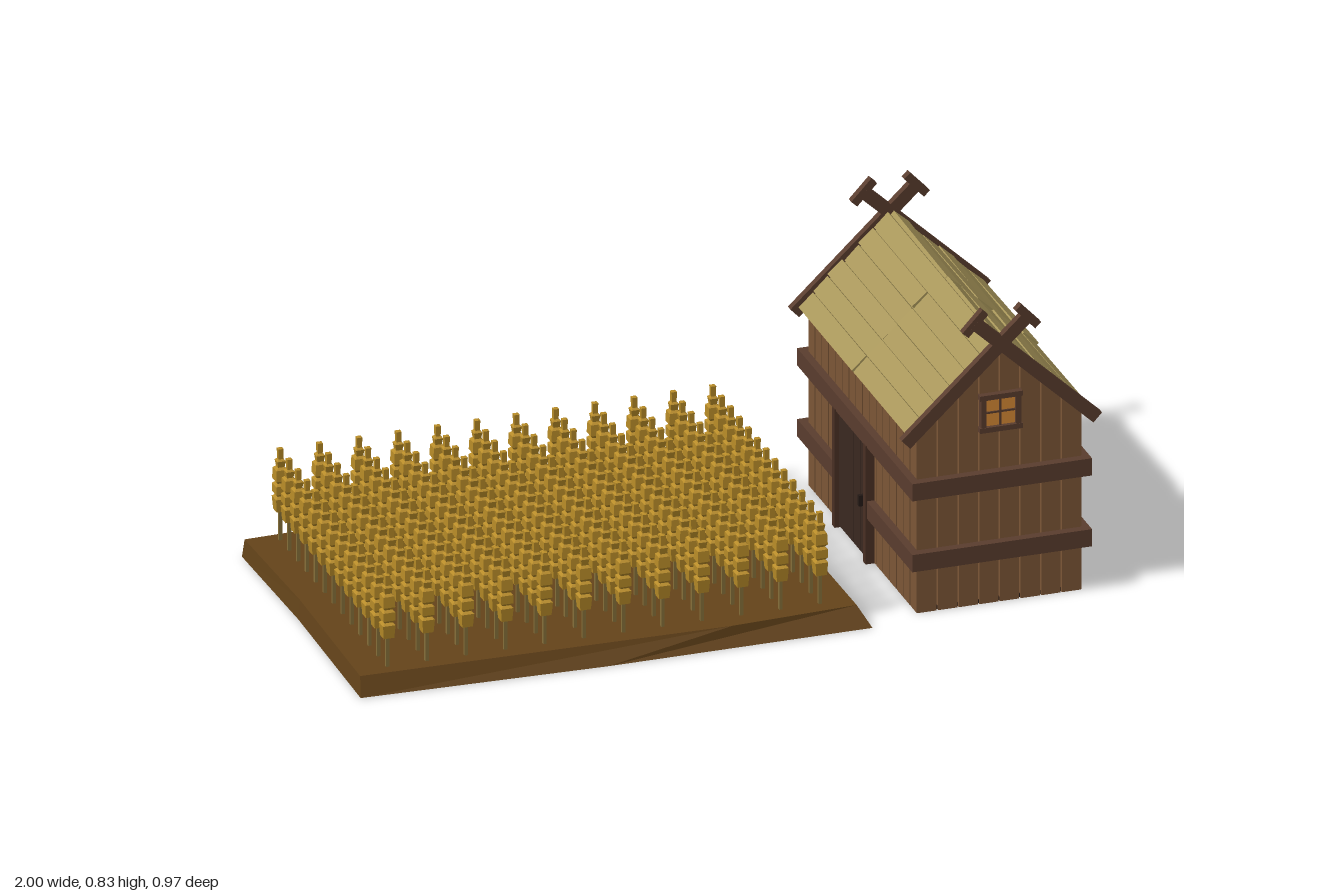
import * as THREE from 'three';
import { mergeGeometries } from 'three/addons/utils/BufferGeometryUtils.js';

const COLORS = {
  plank: 0x7d5737, beam: 0x5a3d2e, door: 0x3a2820, frame: 0x4a3024, roof: 0xa8965a,
  soil: 0x65441a, wheat: 0xb88c28, stalk: 0x86703a, glass: 0xd98a35, floor: 0x2a1d17, metal: 0x241a16,
};
const mats = {};
for (const [k, c] of Object.entries(COLORS)) {
  mats[k] = new THREE.MeshStandardMaterial({ color: c, flatShading: true });
}

// Barn dimensions
const CX = 0.728, HW = 0.222, ZF = 0.435, ZB = -0.4;
const ZC = (ZF + ZB) / 2, LEN = ZF - ZB;
const SLOPE = 0.94, PITCH = Math.atan(SLOPE), RIDGE = 0.724;
const DOOR_Z = -0.02;

function add(parent, name, geo, mat, x = 0, y = 0, z = 0) {
  const m = new THREE.Mesh(geo, mats[mat]);
  m.name = name;
  m.position.set(x, y, z);
  parent.add(m);
  return m;
}
const box = (parent, name, mat, w, h, d, x, y, z) =>
  add(parent, name, new THREE.BoxGeometry(w, h, d), mat, x, y, z);

function group(parent, name, x = 0, y = 0, z = 0) {
  const g = new THREE.Group();
  g.name = name;
  g.position.set(x, y, z);
  parent.add(g);
  return g;
}

// Irregular mound of soil: matching lower and upper outlines joined by sloped sides
function soilGeometry() {
  const low = [[-1, 0.458], [-0.34, 0.482], [0.37, 0.482], [0.343, -0.19], [0.365, -0.468], [-0.3, -0.487], [-0.998, -0.46], [-0.99, -0.05]];
  const top = [[-0.995, 0.44], [0, 0.462], [0.34, 0.446], [0.335, -0.19], [0.315, -0.44], [-0.3, -0.465], [-0.995, -0.448], [-0.985, -0.05]];
  const n = low.length, pos = [], idx = [];
  low.forEach(([x, z]) => pos.push(x, 0, z));
  top.forEach(([x, z]) => pos.push(x, 0.053, z));
  pos.push(-0.3, 0, 0, -0.3, 0.053, 0);
  for (let i = 0; i < n; i++) {
    const j = (i + 1) % n;
    idx.push(i, j, n + j, i, n + j, n + i, 2 * n, j, i, 2 * n + 1, n + i, n + j);
  }
  const g = new THREE.BufferGeometry();
  g.setAttribute('position', new THREE.Float32BufferAttribute(pos, 3));
  g.setIndex(idx);
  g.computeVertexNormals();
  return g;
}

function buildField(root) {
  const field = group(root, 'field');
  add(field, 'soilBed', soilGeometry(), 'soil');
  // Square, notched ear of grain
  const profile = [[0, 0.132], [0.02, 0.136], [0.024, 0.172], [0.014, 0.178], [0.023, 0.185], [0.023, 0.208],
    [0.014, 0.214], [0.023, 0.222], [0.021, 0.252], [0.012, 0.258], [0.016, 0.275], [0.009, 0.28], [0.01, 0.308], [0, 0.31]];
  const ear = new THREE.LatheGeometry(profile.map(([r, y]) => new THREE.Vector2(r, y)), 4);
  ear.rotateY(Math.PI / 4);
  const stem = new THREE.BoxGeometry(0.009, 0.1, 0.009).translate(0, 0.09, 0);
  const ears = [], stems = [];
  for (let c = 0; c < 12; c++) {
    for (let r = 0; r < 13; r++) {
      const x = -0.91 + c * 0.1059, z = -0.417 + r * 0.0685;
      ears.push(ear.clone().translate(x, 0, z));
      stems.push(stem.clone().translate(x, 0, z));
    }
  }
  add(field, 'wheatEars', mergeGeometries(ears), 'wheat');
  add(field, 'wheatStems', mergeGeometries(stems), 'stalk');
}

// Side walls of upright planks with narrow gaps
function buildWalls(barn) {
  const walls = group(barn, 'walls');
  const n = 16, p = LEN / n;
  for (const s of [-1, 1]) {
    for (let i = 0; i < n; i++) {
      box(walls, 'sidePlank', 'plank', 0.016, 0.5, p - 0.005, CX + s * (HW - 0.008), 0.25, ZB + (i + 0.5) * p);
    }
  }
  // Gable planks, cut to the roof slope
  const gp = (2 * HW) / 8, top = (x) => 0.708 - SLOPE * Math.abs(x);
  for (const z of [ZF - 0.016, ZB]) {
    for (let i = 0; i < 8; i++) {
      const a = -HW + i * gp + 0.002, b = a + gp - 0.004;
      const shape = new THREE.Shape([[a, 0], [b, 0], [b, top(b)], [a, top(a)]].map((q) => new THREE.Vector2(...q)));
      add(walls, 'gablePlank', new THREE.ExtrudeGeometry(shape, { depth: 0.016, bevelEnabled: false }), 'plank', CX, 0, z);
    }
  }
  box(barn, 'floor', 'floor', 2 * HW - 0.01, 0.01, LEN - 0.01, CX, 0.006, ZC);
}

// Horizontal beams; the lower ring stops at the doors
function buildBeams(barn) {
  const beams = group(barn, 'beams');
  const x0 = CX - HW - 0.021, x1 = CX + HW + 0.019, z0 = ZB - 0.025, z1 = ZF + 0.025;
  const alongX = (y, a, b, z) => box(beams, 'beam', 'beam', b - a, 0.048, 0.024, (a + b) / 2, y, z);
  const alongZ = (y, a, b, x) => box(beams, 'beam', 'beam', 0.022, 0.048, b - a, x, y, (a + b) / 2);
  for (const y of [0.152, 0.35]) {
    alongX(y, x0, x1, z1 - 0.012);
    alongZ(y, z0, z1, x1 - 0.011);
  }
  alongX(0.35, x0, x1, z0 + 0.012);
  alongZ(0.35, z0, z1, x0 + 0.011);
  alongX(0.152, x0, CX - 0.1, z0 + 0.012);
  alongX(0.152, CX + 0.1, x1, z0 + 0.012);
  alongZ(0.152, z0, DOOR_Z - 0.13, x0 + 0.011);
  alongZ(0.152, DOOR_Z + 0.13, z1, x0 + 0.011);
}

// Door facing +z of its own group
function buildDoor(barn, name, w, x, z, turn) {
  const d = group(barn, name, x, 0, z);
  d.rotation.y = turn;
  const leaf = (w - 0.04) / 4;
  for (let i = 0; i < 4; i++) {
    box(d, 'doorPlank', 'door', leaf - 0.002, 0.32, 0.012, (i - 1.5) * leaf, 0.165, 0.006);
  }
  for (const s of [-1, 1]) box(d, 'doorPost', 'frame', 0.022, 0.33, 0.024, s * (w / 2 - 0.011), 0.165, 0.012);
  box(d, 'doorHandle', 'metal', 0.01, 0.03, 0.016, w / 2 - 0.045, 0.16, 0.02);
}

function buildWindow(barn, z, turn) {
  const w = group(barn, 'window', CX, 0.535, z);
  w.rotation.y = turn;
  box(w, 'windowPane', 'glass', 0.09, 0.08, 0.008, 0, 0, 0.002);
  for (const s of [-1, 1]) {
    box(w, 'windowJamb', 'beam', 0.014, 0.096, 0.018, s * 0.047, 0, 0.007);
    box(w, 'windowRail', 'beam', 0.115, 0.014, 0.02, 0, s * 0.045, 0.007);
  }
  box(w, 'windowBar', 'beam', 0.005, 0.08, 0.01, 0, 0, 0.005);
  box(w, 'windowBar', 'beam', 0.085, 0.005, 0.01, 0, 0, 0.005);
}

function buildRoof(barn) {
  const split = 0.018, rows = 6, p = 0.336 / rows;
  for (const s of [-1, 1]) {
    const slope = group(barn, 'roofSlope', CX, RIDGE, 0);
    slope.rotation.z = -s * PITCH;
    // Closed underlay beneath uneven boards
    box(slope, 'roofUnderlay', 'roof', 0.334, 0.008, LEN, s * 0.167, -0.006, ZC);
    for (let i = 0; i < rows; i++) {
      [[ZB, split], [split, ZF]].forEach(([a, b], h) => {
        const wobble = Math.sin(i * 2.7 + h * 4.1 + s);
        const board = box(slope, 'roofBoard', 'roof', p - 0.003, 0.015, b - a - 0.001, s * (i + 0.5) * p, 0.001 + 0.002 * wobble, (a + b) / 2);
        board.rotation.z = s * 0.04 * wobble;
        board.rotation.x = 0.01 * Math.cos(i * 1.9 + h);
      });
    }
    // Crossed gable boards with short end bars
    for (const z of [ZF + 0.01, ZB - 0.01]) {
      const trim = group(barn, 'gableTrim', CX, RIDGE + 0.002, z + s * 0.0006);
      trim.rotation.z = -s * PITCH;
      box(trim, 'gableBoard', 'beam', 0.452, 0.034, 0.02, s * 0.128, 0, 0);
      box(trim, 'gableEndBar', 'beam', 0.022, 0.078, 0.0196, -s * 0.098, 0, 0);
    }
  }
}

export function createModel() {
  const root = new THREE.Group();
  root.name = 'farm';
  buildField(root);
  const barn = group(root, 'barn');
  buildWalls(barn);
  buildBeams(barn);
  buildDoor(barn, 'backDoor', 0.2, CX, ZB, Math.PI);
  buildDoor(barn, 'sideDoor', 0.26, CX - HW, DOOR_Z, -Math.PI / 2);
  buildWindow(barn, ZF, 0);
  buildWindow(barn, ZB, Math.PI);
  buildRoof(barn);
  return root;
}
